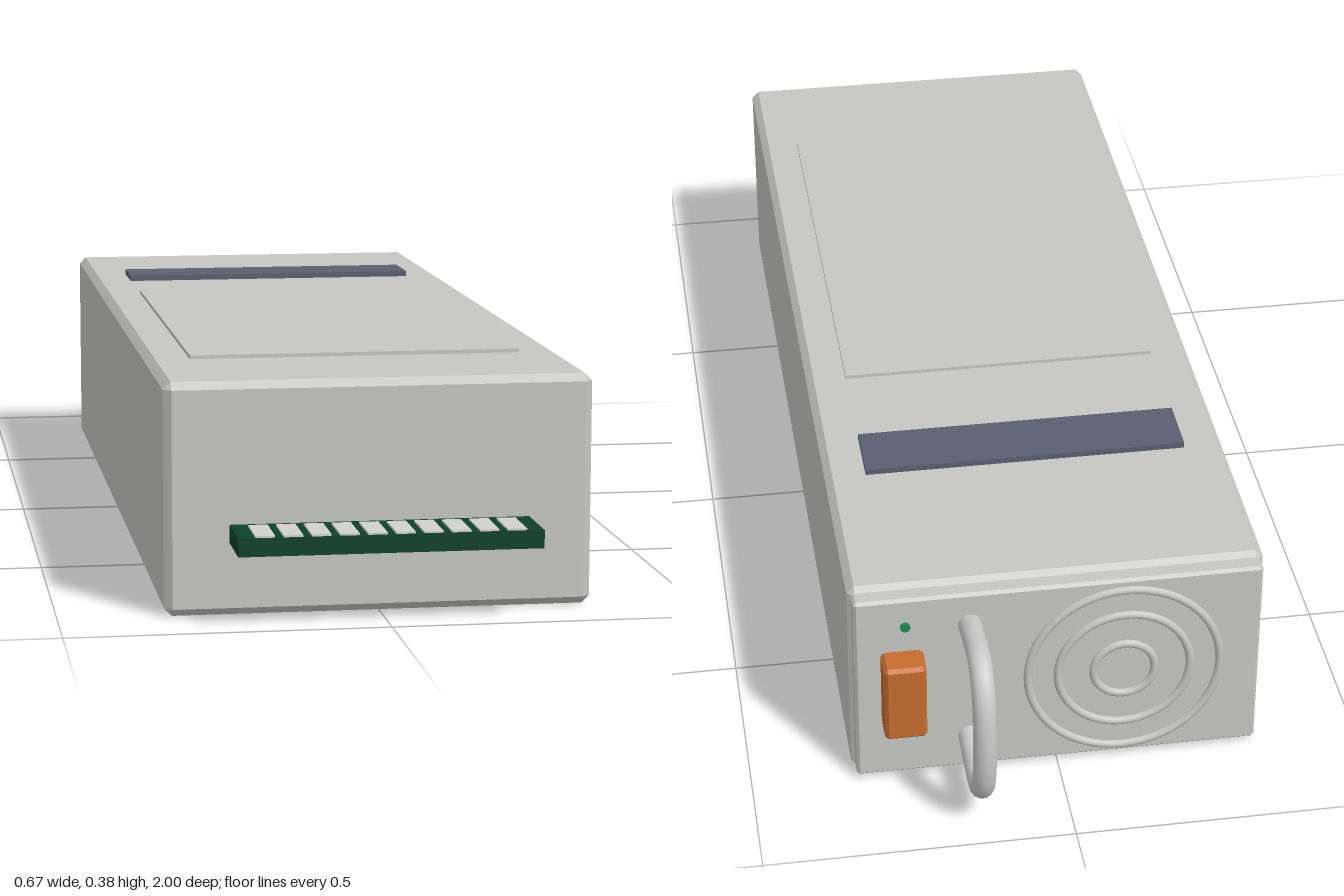
import * as THREE from 'three';
import { ConvexGeometry } from 'three/addons/geometries/ConvexGeometry.js';

const paint = (name, color) => {
  const m = new THREE.MeshStandardMaterial({ color });
  m.name = name;
  return m;
};

// Box between two corners with every edge chamfered by c
function chamferBox(min, max, c) {
  const mid = min.map((v, i) => (v + max[i]) / 2);
  const half = min.map((v, i) => (max[i] - v) / 2);
  const pts = [];
  for (const sx of [-1, 1]) for (const sy of [-1, 1]) for (const sz of [-1, 1]) {
    for (let axis = 0; axis < 3; axis++) {
      const p = [sx, sy, sz].map((s, i) => mid[i] + s * (half[i] - (i === axis ? 0 : c)));
      pts.push(new THREE.Vector3(...p));
    }
  }
  return new ConvexGeometry(pts);
}

function plainBox(min, max) {
  const g = new THREE.BoxGeometry(...max.map((v, i) => v - min[i]));
  return g.translate(...max.map((v, i) => (v + min[i]) / 2));
}

export function createModel() {
  const steel = paint('steel', 0xc6c6c3);
  const handleMetal = paint('handle metal', 0xcbcbcb);
  const slate = paint('slate stripe', 0x596070);
  const boardGreen = paint('board green', 0x0e4227);
  const contactMetal = paint('contact metal', 0xd2d2cc);
  const orange = paint('latch orange', 0xc66c30);
  const green = paint('indicator green', 0x1f8a50);

  const model = new THREE.Group();
  const add = (name, geometry, material, parent = model) => {
    const mesh = new THREE.Mesh(geometry, material);
    mesh.name = name;
    parent.add(mesh);
    return mesh;
  };

  // Case and rear panel
  add('case', chamferBox([-0.335, 0, -0.793], [0.335, 0.365, 0.89], 0.012), steel);
  add('rearPanel', chamferBox([-0.329, 0.008, -0.818], [0.329, 0.357, -0.785], 0.005), steel);

  // Raised label plate and dark stripe on the lid
  add('labelPlate', plainBox([-0.268, 0.362, -0.19], [0.268, 0.371, 0.65]), steel);
  add('lidStripe', plainBox([-0.268, 0.362, -0.482], [0.268, 0.375, -0.376]), slate);

  // Edge connector with a row of contacts
  const connector = new THREE.Group();
  connector.name = 'edgeConnector';
  model.add(connector);
  add('board', plainBox([-0.235, 0.115, 0.87], [0.235, 0.143, 1]), boardGreen, connector);
  for (let i = 0; i < 10; i++) {
    const x = (i - 4.5) * 0.043;
    add('contact', plainBox([x - 0.015, 0.14, 0.91], [x + 0.015, 0.146, 0.996]), contactMetal, connector);
  }

  // Concentric fan guard rings
  const fan = new THREE.Group();
  fan.name = 'fanGuard';
  fan.position.set(-0.107, 0.18, -0.818);
  model.add(fan);
  for (const r of [0.157, 0.108, 0.05]) {
    add('guardRing', new THREE.TorusGeometry(r, 0.007, 10, 56), steel, fan);
  }

  // Pull handle
  const path = new THREE.CatmullRomCurve3([
    [0.295, -0.8], [0.306, -0.87], [0.306, -0.935], [0.27, -0.968], [0.183, -0.981],
    [0.1, -0.968], [0.064, -0.935], [0.064, -0.87], [0.075, -0.8],
  ].map(([y, z]) => new THREE.Vector3(0.144, y, z)));
  add('handle', new THREE.TubeGeometry(path, 60, 0.019, 14), handleMetal);

  // Release latch and status light
  add('latch', chamferBox([0.219, 0.115, -0.867], [0.287, 0.256, -0.81], 0.006), orange);
  const light = new THREE.CylinderGeometry(0.008, 0.008, 0.012, 16).rotateX(Math.PI / 2);
  add('statusLight', light.translate(0.247, 0.305, -0.817), green);

  return model;
}
